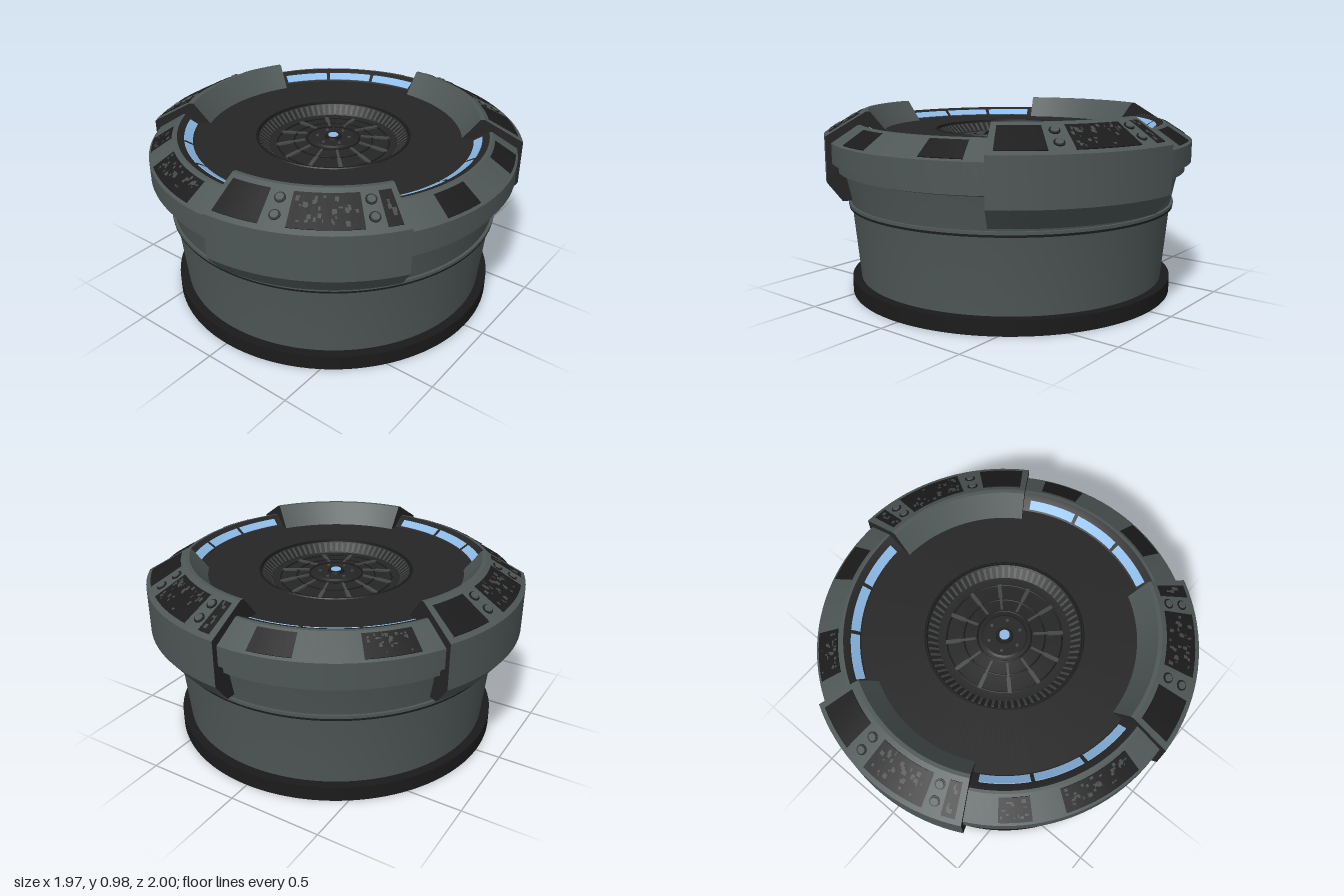
import * as THREE from 'three';
import { mergeGeometries, toCreasedNormals } from 'three/addons/utils/BufferGeometryUtils.js';

const DEG = Math.PI / 180;
const mat = (name, color) => {
  const m = new THREE.MeshStandardMaterial({ color, side: THREE.DoubleSide });
  m.name = name;
  return m;
};

export function createModel() {
  const hull = mat('hull grey', 0x4e5656);
  const dark = mat('deck charcoal', 0x252525);
  const black = mat('panel black', 0x1b1b1b);
  const trim = mat('trim grey', 0x454848);
  const blue = mat('light blue', 0x8ebdea);

  const model = new THREE.Group();
  const table = new THREE.Group();
  table.name = 'roundTable';
  table.position.x = 0.012;
  model.add(table);

  const add = (name, geo, material, parent = table) => {
    const m = new THREE.Mesh(geo, material);
    m.name = name;
    parent.add(m);
    return m;
  };
  // Revolve a [radius, height] profile between two angles (0 = +x, counterclockwise from above)
  const sweep = (profile, a0 = 0, a1 = 360) => toCreasedNormals(new THREE.LatheGeometry(
    profile.map(([r, y]) => new THREE.Vector2(r, y)),
    Math.max(1, Math.ceil((a1 - a0) / 3)), (a0 + 90) * DEG, (a1 - a0) * DEG), 0.3);

  // Thin curved plate lying on a slope, from t0 to t1 along it
  const plate = ([[r0, y0], [r1, y1]], t0, t1, a0, a1, half = 0.004) => {
    const len = Math.hypot(r1 - r0, y1 - y0);
    const nx = (y1 - y0) / len * half, ny = -(r1 - r0) / len * half;
    const at = (t, s) => [r0 + (r1 - r0) * t + nx * s, y0 + (y1 - y0) * t + ny * s];
    return sweep([at(t0, -1), at(t0, 1), at(t1, 1), at(t1, -1), at(t0, -1)], a0, a1);
  };

  let seed = 7;
  const rand = () => (seed = (seed * 16807) % 2147483647) / 2147483647;
  // Scattered raised marks over a control panel
  const marks = (slope, a0, a1) => {
    const list = [];
    const count = Math.round((a1 - a0) * 1.5);
    for (let i = 0; i < count; i++) {
      const t = 0.18 + rand() * 0.6, a = a0 + 0.6 + rand() * (a1 - a0 - 2.4);
      list.push(plate(slope, t, t + 0.03 + rand() * 0.09, a, a + 0.3 + rand() * 1.1, 0.0048));
    }
    return mergeGeometries(list);
  };

  // Drum
  add('baseRing', sweep([[0.83, 0], [0.88, 0], [0.88, 0.08], [0.83, 0.08]]), black);
  add('drumWall', sweep([[0.832, 0.002], [0.832, 0.08], [0.868, 0.47], [0.872, 0.5], [0.905, 0.66]]), hull);
  add('drumBand', sweep([[0.868, 0.482], [0.886, 0.482], [0.886, 0.497], [0.87, 0.497]]), hull);
  add('drumGroove', sweep([[0.866, 0.47], [0.884, 0.47], [0.884, 0.482], [0.868, 0.482]]), black);

  // Rim with its sloping top
  const rimSlope = [[0.972, 0.825], [0.835, 0.912]];
  add('rim', sweep([[0.905, 0.66], [0.94, 0.67], [0.94, 0.72], [0.972, 0.72],
    ...rimSlope, [0.82, 0.914]]), hull);
  const rimPanels = [[-20, -7, false], [13, 26, false], [97, 110, false],
    [129, 145, true], [218, 228, true], [238, 263, true]];
  for (const [a0, a1, busy] of rimPanels) {
    add('rimPanel', plate(rimSlope, 0.1, 0.9, a0, a1), black);
    if (busy) add('rimPanelMarks', marks(rimSlope, a0, a1), trim);
  }

  // Deck, with the inner slope carrying the lights
  const lightSlope = [[0.79, 0.903], [0.735, 0.868]];
  add('deck', sweep([[0.82, 0.914], ...lightSlope, [0.41, 0.868]]), dark);
  for (const gap of [0, 120, 240]) {
    for (const c of [-20, 0, 20]) {
      add('lightStrip', plate(lightSlope, 0.1, 0.85, gap + c - 9.3, gap + c + 9.3), blue);
    }
  }

  // Central well
  add('wellLip', sweep([[0.412, 0.868], [0.408, 0.873], [0.4, 0.873], [0.398, 0.862]]), black);
  add('well', sweep([[0.398, 0.862], [0.345, 0.815], [0.3, 0.812], [0.12, 0.838],
    [0.11, 0.845], [0.0, 0.845]]), dark);
  const wellSlope = [[0.398, 0.862], [0.345, 0.815]];
  const ticks = [];
  for (let i = 0; i < 72; i++) ticks.push(plate(wellSlope, 0.1, 0.95, i * 5, i * 5 + 2));
  add('wellTicks', mergeGeometries(ticks), trim);
  for (const [r, y] of [[0.3, 0.816], [0.21, 0.828], [0.14, 0.839]]) {
    add('wellRing', new THREE.TorusGeometry(r, 0.004, 6, 72).rotateX(Math.PI / 2).translate(0, y, 0), black);
  }
  for (let i = 0; i < 12; i++) {
    const a = (15 + i * 30) * DEG;
    const outer = new THREE.BoxGeometry(0.08, 0.014, 0.02).rotateZ(-0.14).translate(0.265, 0.82, 0);
    const inner = new THREE.BoxGeometry(0.08, 0.012, 0.012).rotateZ(-0.14).translate(0.19, 0.831, 0);
    add('wellSpoke', mergeGeometries([outer, inner]).rotateY(a), trim);
  }
  for (let i = 0; i < 6; i++) {
    add('hubStud', new THREE.CylinderGeometry(0.008, 0.008, 0.008, 10)
      .translate(0.085, 0.847, 0).rotateY((30 + i * 60) * DEG), trim);
  }
  add('hubRing', new THREE.CylinderGeometry(0.042, 0.046, 0.012, 32).translate(0, 0.849, 0), black);
  add('hubLight', new THREE.CylinderGeometry(0.027, 0.027, 0.006, 24).translate(0, 0.857, 0), blue);

  // Three raised consoles
  const slope = [[1.0, 0.86], [0.79, 0.98]];
  const section = [[0.845, 0.52], [0.925, 0.52], [1.0, 0.62], ...slope, [0.77, 0.98], [0.68, 0.866]];
  const tilt = Math.atan2(0.12, 0.21);
  for (const centre of [60, 180, 300]) {
    const group = new THREE.Group();
    group.name = 'console';
    group.rotation.y = centre * DEG;
    table.add(group);
    add('consoleShell', sweep(section, -28, 28), hull, group);
    const capShape = new THREE.Shape(section.map(([r, y]) => new THREE.Vector2(r, y)));
    for (const a of [-28, 28]) {
      add('consoleEnd', new THREE.ShapeGeometry(capShape).rotateY(a * DEG), dark, group);
    }
    for (const [a0, a1, busy] of [[-26, -12, false], [-4.5, 16, true], [21.8, 26, true]]) {
      add('consolePanel', plate(slope, 0.12, 0.88, a0, a1), black, group);
      if (busy) add('consolePanelMarks', marks(slope, a0, a1), trim, group);
    }
    // Dials in pairs between the panels
    for (const a of [-8.3, 19]) {
      for (const t of [0.35, 0.72]) {
        const r = 1 - 0.21 * t, y = 0.86 + 0.12 * t;
        const place = (g) => g.rotateZ(-tilt).translate(r, y, 0).rotateY(a * DEG);
        add('dialBase', place(new THREE.CylinderGeometry(0.027, 0.027, 0.008, 20)), black, group);
        add('dialKnob', place(new THREE.CylinderGeometry(0.019, 0.021, 0.02, 20)), hull, group);
      }
    }
  }
  return model;
}
